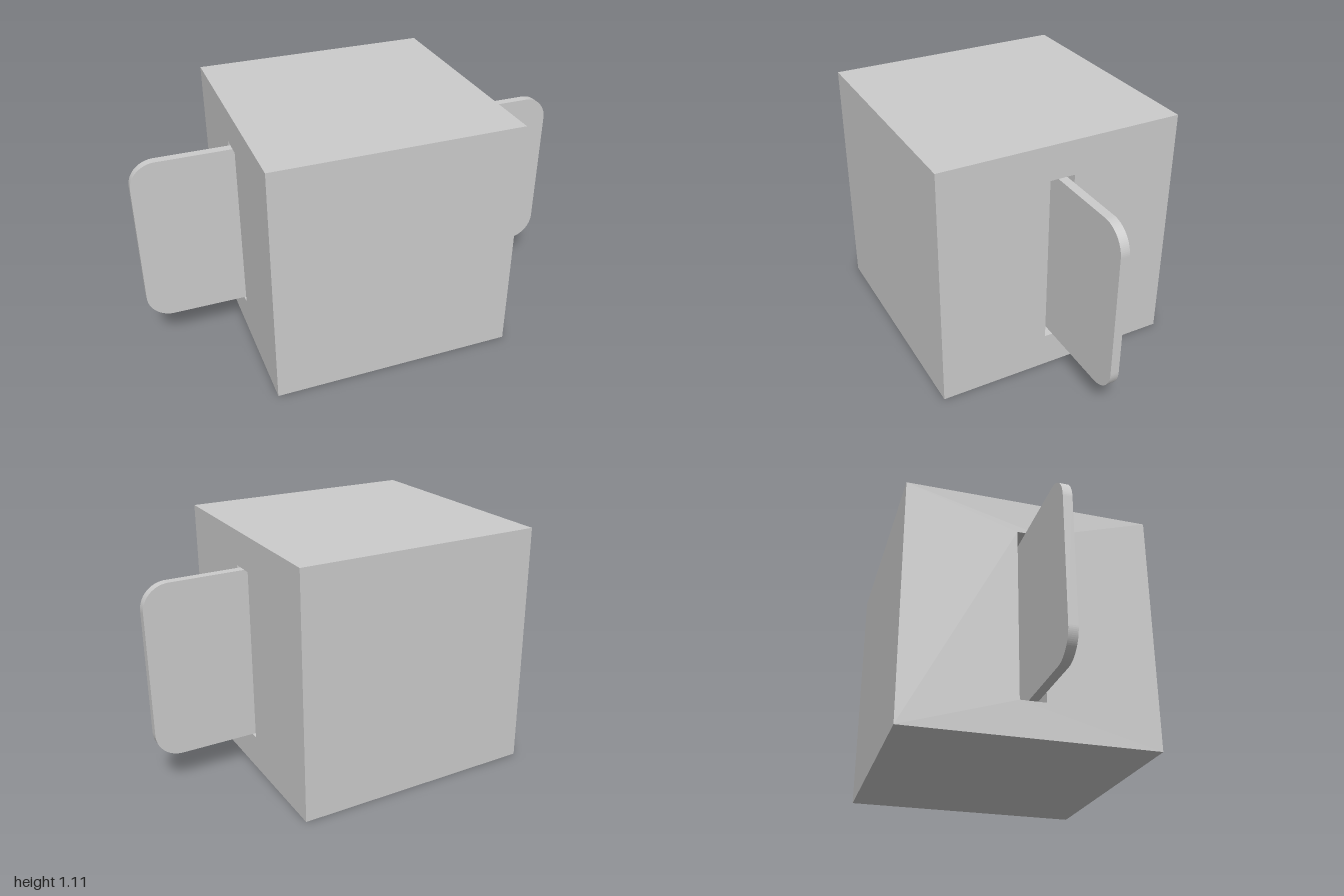
import * as THREE from 'three';

const SIZE = 1.106;        // cube edge
const MID = SIZE / 2;
const SLOT_H = 0.79, SLOT_W = 0.114;
const PLATE_T = 0.04, RADIUS = 0.115;

const material = new THREE.MeshStandardMaterial({ color: 0xcccccc, flatShading: true });

// Traces a rectangle centred on the origin, optionally with rounded corners
function rect(path, w, h, r = 0) {
  const x = w / 2, y = h / 2;
  if (r === 0) {
    return path.moveTo(-x, -y).lineTo(x, -y).lineTo(x, y).lineTo(-x, y).closePath();
  }
  path.absarc(x - r, -y + r, r, -Math.PI / 2, 0);
  path.absarc(x - r, y - r, r, 0, Math.PI / 2);
  path.absarc(-x + r, y - r, r, Math.PI / 2, Math.PI);
  path.absarc(-x + r, -y + r, r, Math.PI, Math.PI * 1.5);
  return path.closePath();
}

// Extrudes a shape, centred on its depth
function slab(name, shape, depth) {
  const geometry = new THREE.ExtrudeGeometry(shape, { depth, bevelEnabled: false, curveSegments: 12 });
  geometry.translate(0, 0, -depth / 2);
  const mesh = new THREE.Mesh(geometry, material);
  mesh.name = name;
  mesh.position.y = MID;
  return mesh;
}

export function createModel() {
  const group = new THREE.Group();
  group.name = 'slottedCubeWithPlate';

  // Cube with a tall slot running through it from side to side
  const face = rect(new THREE.Shape(), SIZE, SIZE);
  face.holes.push(rect(new THREE.Path(), SLOT_W, SLOT_H));
  const cube = slab('slottedCube', face, SIZE);
  cube.rotation.y = Math.PI / 2;

  // Thin rounded plate passing through the slot
  const plate = slab('plate', rect(new THREE.Shape(), 2, SLOT_H, RADIUS), PLATE_T);

  group.add(cube, plate);
  return group;
}
